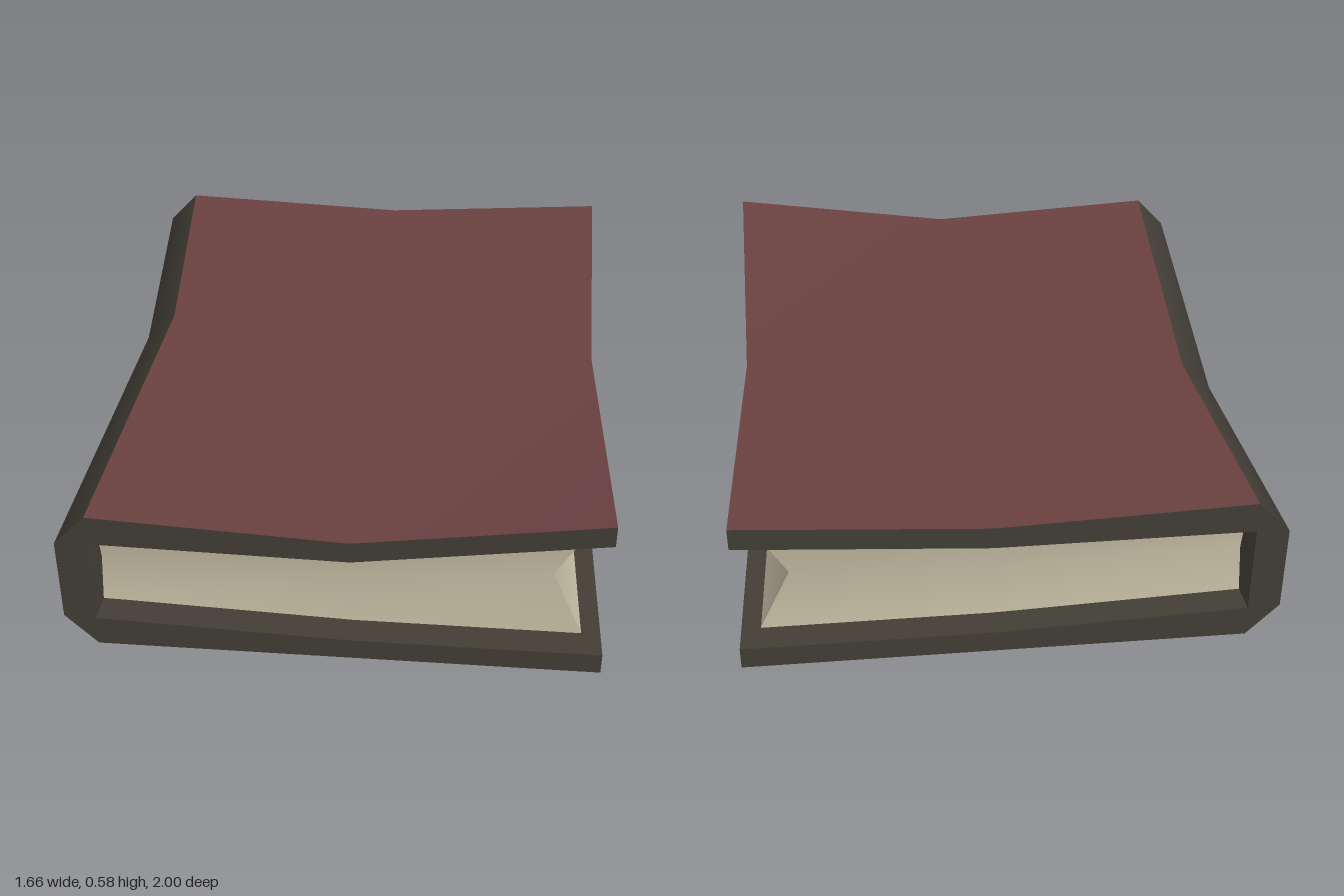
import * as THREE from 'three';

const leather = new THREE.MeshStandardMaterial({ color: 0x6a4040 });
leather.name = 'red cover';
const binding = new THREE.MeshStandardMaterial({ color: 0x423e36 });
binding.name = 'dark binding';
const paper = new THREE.MeshStandardMaterial({ color: 0xc4bda4 });
paper.name = 'paper';

// Smooth surface through a grid of points (rows of equal length)
function sheet(name, rows, material) {
  const n = rows[0].length;
  const index = [];
  for (let i = 0; i < rows.length - 1; i++) {
    for (let j = 0; j < n - 1; j++) {
      const a = i * n + j, b = a + 1, d = a + n, c = d + 1;
      index.push(a, d, b, b, d, c);
    }
  }
  const geometry = new THREE.BufferGeometry();
  geometry.setAttribute('position', new THREE.Float32BufferAttribute(rows.flat(2), 3));
  geometry.setIndex(index);
  geometry.computeVertexNormals();
  const mesh = new THREE.Mesh(geometry, material);
  mesh.name = name;
  return mesh;
}

// Cover cross-section: outside from the top fore edge round the spine, then back inside
function section({ zFore, zMid, zSpine, shift, fore, xFore, mid, spine, side, low, lowSide, inner }) {
  const T = 0.073, xs = -0.73 + shift, xo = -0.83 + shift, xm = 0.06;
  return [
    [xFore, fore, zFore], [xm, mid, zMid], [xs, spine, zSpine],
    [xo, side, zSpine], [xo, lowSide, zSpine],
    [xs, low, zSpine], [xm, low, zMid], [xFore, low, zFore],
    [xFore, low + T, zFore], [xm, low + T, zMid], [xs, inner[0], zSpine],
    [xs, inner[1], zSpine], [xm, mid - T, zMid], [xFore, fore - T, zFore],
  ];
}

function createCover() {
  const cover = new THREE.Group();
  cover.name = 'cover';
  const sections = [
    section({ zFore: 1, zMid: 1, zSpine: 1, shift: 0, fore: 0.58, xFore: 0.83, mid: 0.464,
      spine: 0.508, side: 0.4, low: 0, lowSide: 0.11, inner: [0.105, 0.405] }),
    section({ zFore: -0.02, zMid: -0.03, zSpine: -0.17, shift: 0.06, fore: 0.466, xFore: 0.8, mid: 0.45,
      spine: 0.474, side: 0.375, low: 0.014, lowSide: 0.115, inner: [0.11, 0.38] }),
    section({ zFore: -1, zMid: -1, zSpine: -1, shift: 0, fore: 0.531, xFore: 0.83, mid: 0.477,
      spine: 0.508, side: 0.4, low: 0, lowSide: 0.11, inner: [0.105, 0.405] }),
  ];
  const strip = (name, from, to, material) =>
    cover.add(sheet(name, sections.map((s) => s.slice(from, to + 1)), material));
  strip('topBoard', 0, 2, leather);
  strip('spine', 2, 5, binding);
  strip('bottomBoard', 5, 7, leather);
  strip('bottomForeEdge', 7, 8, binding);
  strip('bottomLining', 8, 10, binding);
  strip('spineLining', 10, 11, binding);
  strip('topLining', 11, 13, binding);
  cover.add(sheet('topForeEdge', sections.map((s) => [s[13], s[0]]), binding));

  // End rims of the boards and spine
  const pairs = [13, 12, 11, 11, 10, 10, 9, 8];
  const rim = (s) => [s.slice(0, 8), pairs.map((k) => s[k])];
  cover.add(sheet('frontRim', rim(sections[0]).reverse(), binding));
  cover.add(sheet('backRim', rim(sections[2]), binding));
  return cover;
}

function createPages() {
  const pages = new THREE.Group();
  pages.name = 'pages';
  // Fore edge, notched inward along its middle; each row runs bottom, notch, top
  const fore = [
    [[0.77, 0.07, 0.91], [0.67, 0.285, 0.88], [0.77, 0.492, 0.91]],
    [[0.74, 0.08, -0.02], [0.64, 0.24, -0.02], [0.74, 0.4, -0.02]],
    [[0.77, 0.07, -0.91], [0.67, 0.265, -0.88], [0.77, 0.458, -0.91]],
  ];
  pages.add(sheet('pageForeEdge', fore, paper));

  // Head and tail, creased slightly inward; rows run top, middle, bottom
  const end = (foreRow, z, midTop) => [2, 1, 0].map((k) => {
    const depth = z * (k === 1 ? 0.88 : 0.91);
    return [
      [-0.735, [0.1, 0.255, 0.41][k], depth],
      [0.06, [0.07, 0.235, midTop][k], depth],
      foreRow[k],
    ];
  });
  pages.add(sheet('pageFrontEnd', end(fore[0], 1, 0.395), paper));
  pages.add(sheet('pageBackEnd', end(fore[2], -1, 0.408).reverse(), paper));
  return pages;
}

export function createModel() {
  const book = new THREE.Group();
  book.name = 'book';
  book.add(createCover(), createPages());
  return book;
}
